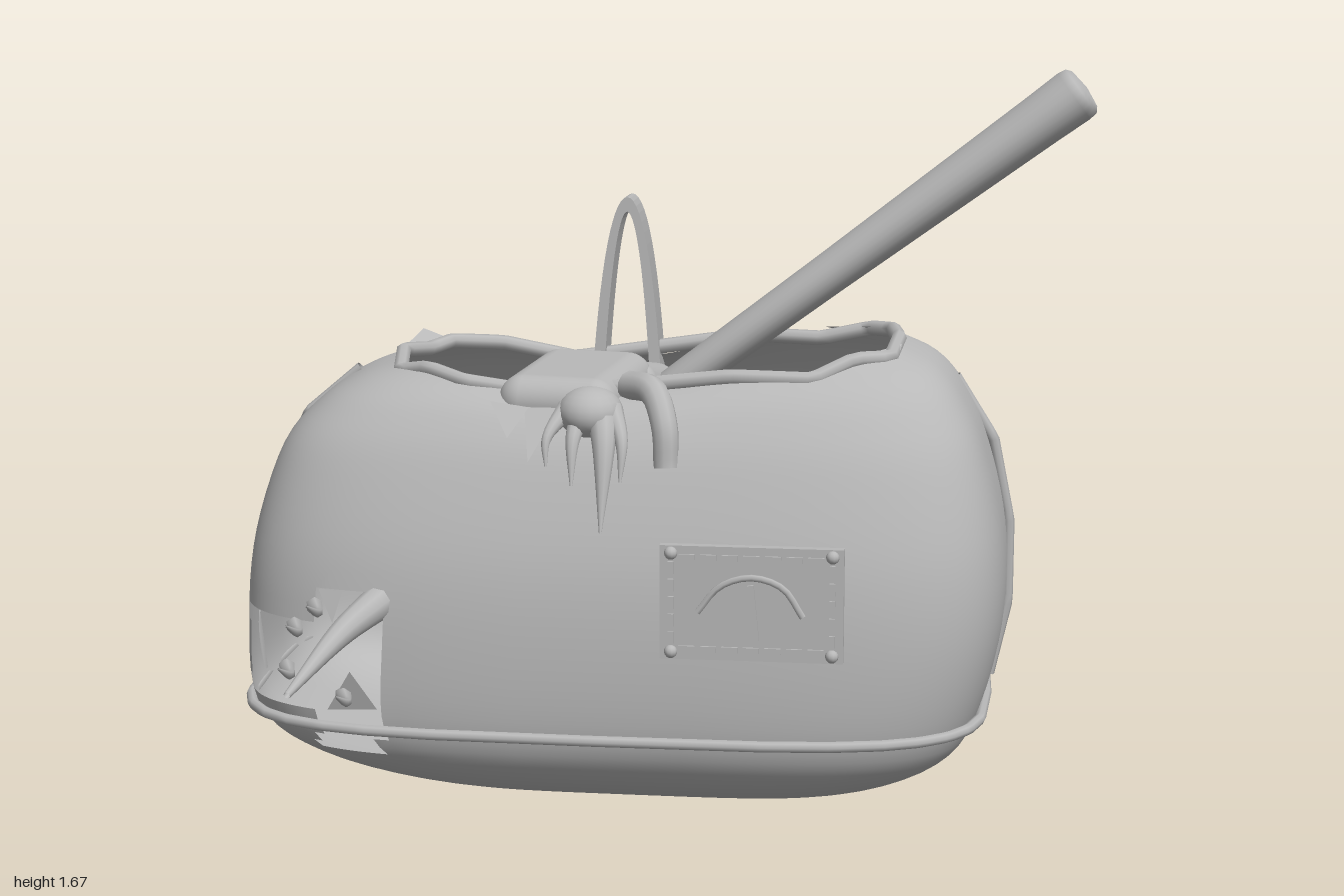
import * as THREE from 'three';
import { RoundedBoxGeometry } from 'three/addons/geometries/RoundedBoxGeometry.js';

const grey = new THREE.MeshStandardMaterial({ color: 0xb8b8b8, side: THREE.DoubleSide });
grey.name = 'grey';

const V = (p) => new THREE.Vector3(...p);

// Bag profile, bottom to rim: y, xMin, xMax, zMin, zMax
const ROWS = [
  [0, -0.05, -0.05, -0.13, -0.13],
  [0.006, -0.42, 0.36, -0.36, 0.11],
  [0.03, -0.62, 0.54, -0.49, 0.22],
  [0.1, -0.84, 0.69, -0.58, 0.31],
  [0.2, -0.955, 0.755, -0.625, 0.355],
  [0.4, -0.97, 0.805, -0.63, 0.36],
  [0.6, -0.95, 0.805, -0.6, 0.335],
  [0.8, -0.885, 0.76, -0.525, 0.27],
  [0.9, -0.8, 0.705, -0.465, 0.22],
  [0.955, -0.71, 0.64, -0.42, 0.175],
  [0.985, -0.62, 0.55, -0.385, 0.125],
];

// Point on the bag at an angle and a (fractional) row, pushed outward by grow
function bagPoint(angle, row, grow = 0) {
  const i = Math.min(Math.floor(row), ROWS.length - 2), t = row - i;
  const at = (k) => ROWS[Math.max(0, Math.min(ROWS.length - 1, k))];
  const mix = (c) => {
    const [a, b, d, e] = [at(i - 1)[c], at(i)[c], at(i + 1)[c], at(i + 2)[c]];
    return b + 0.5 * t * (d - a + t * (2 * a - 5 * b + 4 * d - e + t * (3 * (b - d) + e - a)));
  };
  const top = Math.max(0, (row - 7) / 3);
  const soft = (s) => Math.sign(s) * Math.abs(s) ** (0.51 + 0.06 * top);
  const x = (mix(1) + mix(2)) / 2 + soft(Math.cos(angle)) * ((mix(2) - mix(1)) / 2 + grow);
  const z = (mix(3) + mix(4)) / 2 + soft(Math.sin(angle)) * ((mix(4) - mix(3)) / 2 + grow);
  // The rim sags in the middle and rises toward one end
  const rise = Math.max(0, x) * (0.12 - 0.06 * ((z + 0.17) / 0.27) ** 2);
  const y = mix(0) + top * (rise - 0.04 * Math.exp(-(((x + 0.15) / 0.25) ** 2)));
  return new THREE.Vector3(x, Math.max(0, y), z);
}

function bagGeometry() {
  const N = 112, M = 50, pos = [], index = [];
  const torn = (p) => p.z > 0 && (
    (p.x > -0.94 && p.x < -0.6 && p.y > 0.22 && p.y < 0.43) ||
    (p.x > -0.75 && p.x < -0.6 && p.y > 0.13 && p.y < 0.52));
  for (let i = 0; i <= M; i++)
    for (let j = 0; j < N; j++) pos.push(...bagPoint((j / N) * Math.PI * 2, (i / M) * 10).toArray());
  for (let i = 0; i < M; i++)
    for (let j = 0; j < N; j++) {
      if (torn(bagPoint(((j + 0.5) / N) * Math.PI * 2, ((i + 0.5) / M) * 10))) continue;
      const k = (j + 1) % N, a = i * N + j, b = a + N, c = i * N + k, d = c + N;
      index.push(a, b, c, c, b, d);
    }
  const g = new THREE.BufferGeometry();
  g.setAttribute('position', new THREE.Float32BufferAttribute(pos, 3));
  g.setIndex(index);
  g.computeVertexNormals();
  return g;
}

// Piping with straight runs between its points
function piping(points, radius, closed = false) {
  const curve = new THREE.CatmullRomCurve3(points, closed, 'catmullrom', 0);
  return new THREE.TubeGeometry(curve, points.length * 6, radius, 8, closed);
}

// Curved tube whose radius runs from r0 to r1
function taper(points, r0, r1, sides = 10) {
  const curve = new THREE.CatmullRomCurve3(points.map(V)), seg = 14;
  const g = new THREE.TubeGeometry(curve, seg, 1, sides), p = g.attributes.position, v = new THREE.Vector3();
  for (let i = 0; i < p.count; i++) {
    const t = Math.floor(i / (sides + 1)) / seg, c = curve.getPointAt(t);
    v.fromBufferAttribute(p, i).sub(c).multiplyScalar(r0 + (r1 - r0) * t).add(c);
    p.setXYZ(i, v.x, v.y, v.z);
  }
  return g;
}

function shardGeometry(triangles) {
  const g = new THREE.BufferGeometry();
  g.setAttribute('position', new THREE.Float32BufferAttribute(triangles.flat(2), 3));
  g.computeVertexNormals();
  return g;
}

export function createModel() {
  const model = new THREE.Group();
  const add = (name, geometry, at = [0, 0, 0], rot = [0, 0, 0], parent = model) => {
    const mesh = new THREE.Mesh(geometry, grey);
    mesh.name = name;
    mesh.position.set(...at);
    mesh.rotation.set(...rot);
    parent.add(mesh);
    return mesh;
  };
  const ring = (n, row, grow, wobble = 0) => Array.from({ length: n }, (_, i) => {
    const p = bagPoint((i / n) * Math.PI * 2, row, grow + wobble * Math.sin(i * 2.4));
    p.y += wobble * Math.sin(i * 3.7);
    return p;
  });

  // Bag shell and its piping
  add('bag', bagGeometry());
  add('rimPiping', piping(ring(18, 10, 0, 0.012), 0.018, true));
  add('basePiping', piping(ring(32, 4, 0.014), 0.013, true));
  add('endSeam', piping([[0.68, 0.95, -0.2], [0.772, 0.8, -0.215], [0.812, 0.6, -0.23],
    [0.812, 0.4, -0.235], [0.772, 0.22, -0.235]].map(V), 0.014));
  add('zigzagSeam', piping([[-0.73, 0.95, -0.14], [-0.86, 0.84, -0.14], [-0.93, 0.72, -0.24],
    [-0.96, 0.56, -0.22], [-0.97, 0.5, -0.08], [-0.98, 0.42, -0.11], [-0.98, 0.36, -0.04],
    [-0.97, 0.22, -0.06]].map(V), 0.013));

  // Ragged flaps at the rim and the tear
  add('tornFlaps', shardGeometry([
    [[-0.2, 0.95, -0.4], [-0.08, 0.95, -0.4], [-0.07, 0.93, -0.53]],
    [[0, 0.96, -0.4], [0.14, 0.97, -0.4], [0.1, 0.94, -0.47]],
    [[-0.66, 0.97, -0.28], [-0.56, 0.99, -0.34], [-0.62, 1.01, -0.35]],
    [[-0.36, 0.94, 0.19], [-0.27, 0.93, 0.2], [-0.31, 0.87, 0.26]],
    [[-0.28, 0.93, 0.2], [-0.2, 0.93, 0.2], [-0.26, 0.82, 0.28]],
    [[0.4, 1.02, 0.1], [0.56, 1.05, -0.05], [0.55, 0.98, 0.05]],
    [[0.36, 1.03, -0.38], [0.52, 1.05, -0.28], [0.53, 1.0, -0.33]],
    [[-0.72, 0.24, 0.33], [-0.6, 0.25, 0.35], [-0.66, 0.34, 0.36]],
    [[-0.74, 0.52, 0.31], [-0.68, 0.52, 0.33], [-0.7, 0.45, 0.35]],
  ]));

  // Long club leaning out of the opening
  const from = V([0.0, 0.9, -0.19]), dir = V([0.963, 1.623, -0.245]).sub(from), len = dir.length();
  const club = add('club', new THREE.LatheGeometry([[0, 0], [0.044, 0], [0.05, len * 0.4],
    [0.062, len * 0.9], [0.065, len - 0.03], [0.062, len - 0.01], [0.05, len], [0, len + 0.006]]
    .map((p) => new THREE.Vector2(...p)), 24));
  club.position.copy(from);
  club.quaternion.setFromUnitVectors(new THREE.Vector3(0, 1, 0), dir.normalize());
  club.scale.z = 1.33;

  // Upright strap handle at the back
  const arch = new THREE.Shape();
  arch.moveTo(-0.085, 0);
  arch.bezierCurveTo(-0.065, 0.3, -0.035, 0.455, 0, 0.455);
  arch.bezierCurveTo(0.035, 0.455, 0.065, 0.3, 0.085, 0);
  arch.lineTo(0.057, 0);
  arch.bezierCurveTo(0.042, 0.28, 0.02, 0.42, 0, 0.42);
  arch.bezierCurveTo(-0.02, 0.42, -0.042, 0.28, -0.057, 0);
  add('backHandle', new THREE.ExtrudeGeometry(arch, { depth: 0.098, bevelEnabled: false, curveSegments: 14 }),
    [-0.12, 0.88, -0.45], [-0.03, 0, 0]);

  // Folded bundle rising from inside and lying over the front rim
  add('bundleBack', new RoundedBoxGeometry(0.28, 0.12, 0.3, 6, 0.058), [-0.14, 0.9, -0.23], [-0.2, -0.14, 0]);
  add('bundleFront', new RoundedBoxGeometry(0.28, 0.12, 0.4, 6, 0.058), [-0.19, 0.937, 0.0], [0.03, -0.14, 0]);

  // Drooping front strap and hanging claws
  const knuckle = add('knuckle', new THREE.SphereGeometry(1, 18, 12), [-0.13, 0.92, 0.19]);
  knuckle.scale.set(0.075, 0.06, 0.08);
  add('frontStrap', taper([[-0.05, 0.97, 0.12], [0.01, 0.97, 0.18], [0.045, 0.9, 0.24], [0.05, 0.81, 0.255]], 0.035, 0.028));
  [[-0.09, 0.67, 0.32, 0.038], [-0.16, 0.77, 0.29, 0.028], [-0.22, 0.81, 0.275, 0.024], [-0.05, 0.78, 0.285, 0.026]]
    .forEach(([x, y, z, r]) =>
      add('hangingClaw', taper([[x * 0.6 - 0.05, 0.93, 0.2], [x, 0.87, 0.26], [x, y, z]], r, 0.003)));

  // Spike and small claws poking through the tear
  add('tearSpike', taper([[-0.59, 0.5, 0.3], [-0.66, 0.45, 0.42], [-0.735, 0.365, 0.645]], 0.042, 0.008));
  [[-0.73, 0.52, 0.47], [-0.78, 0.47, 0.46], [-0.8, 0.37, 0.46], [-0.67, 0.31, 0.46]].forEach(([x, y, z]) =>
    add('tearClaw', taper([[x - 0.01, y - 0.03, z - 0.12], [x + 0.01, y - 0.03, z - 0.06], [x, y, z]], 0.02, 0.002, 6)));

  // Tool resting inside
  add('toolHead', new THREE.CylinderGeometry(0.09, 0.09, 0.1, 8).toNonIndexed(), [-0.5, 0.84, -0.13]);
  add('toolButton', new THREE.BoxGeometry(0.09, 0.04, 0.045), [-0.51, 0.9, -0.13]);
  add('toolShaft', new THREE.CylinderGeometry(0.06, 0.06, 0.3, 16), [-0.3, 0.84, -0.15], [0, 0, Math.PI / 2]);

  // Stitched patch with a dial
  const patch = new THREE.Group();
  patch.name = 'patch';
  patch.position.set(0.255, 0.53, 0.36);
  model.add(patch);
  add('patchPlate', new THREE.BoxGeometry(0.41, 0.26, 0.022), [0, 0, 0], [0, 0, 0], patch);
  const W = 0.18, H = 0.105;
  for (const s of [-1, 1]) {
    for (let i = -3; i <= 3; i++)
      add('stitch', new THREE.BoxGeometry(0.036, 0.013, 0.014), [i * 0.048, s * H, 0.01], [0, 0, 0], patch);
    for (let i = -2; i <= 2; i++)
      add('stitch', new THREE.BoxGeometry(0.013, 0.028, 0.014), [s * W, i * 0.04, 0.01], [0, 0, 0], patch);
    for (const t of [-1, 1])
      add('patchStud', new THREE.SphereGeometry(0.015, 10, 8), [s * W, t * (H + 0.008), 0.012], [0, 0, 0], patch);
  }
  add('dialArc', taper([[-0.12, -0.02, 0.013], [-0.07, 0.04, 0.013], [0, 0.062, 0.013], [0.07, 0.04, 0.013],
    [0.115, -0.025, 0.013]], 0.008, 0.008, 6), [0, 0, 0], [0, 0, 0], patch);
  add('dialNeedle', new THREE.BoxGeometry(0.014, 0.13, 0.014), [0.005, -0.02, 0.012], [0, 0, 0.1], patch);

  return model;
}
